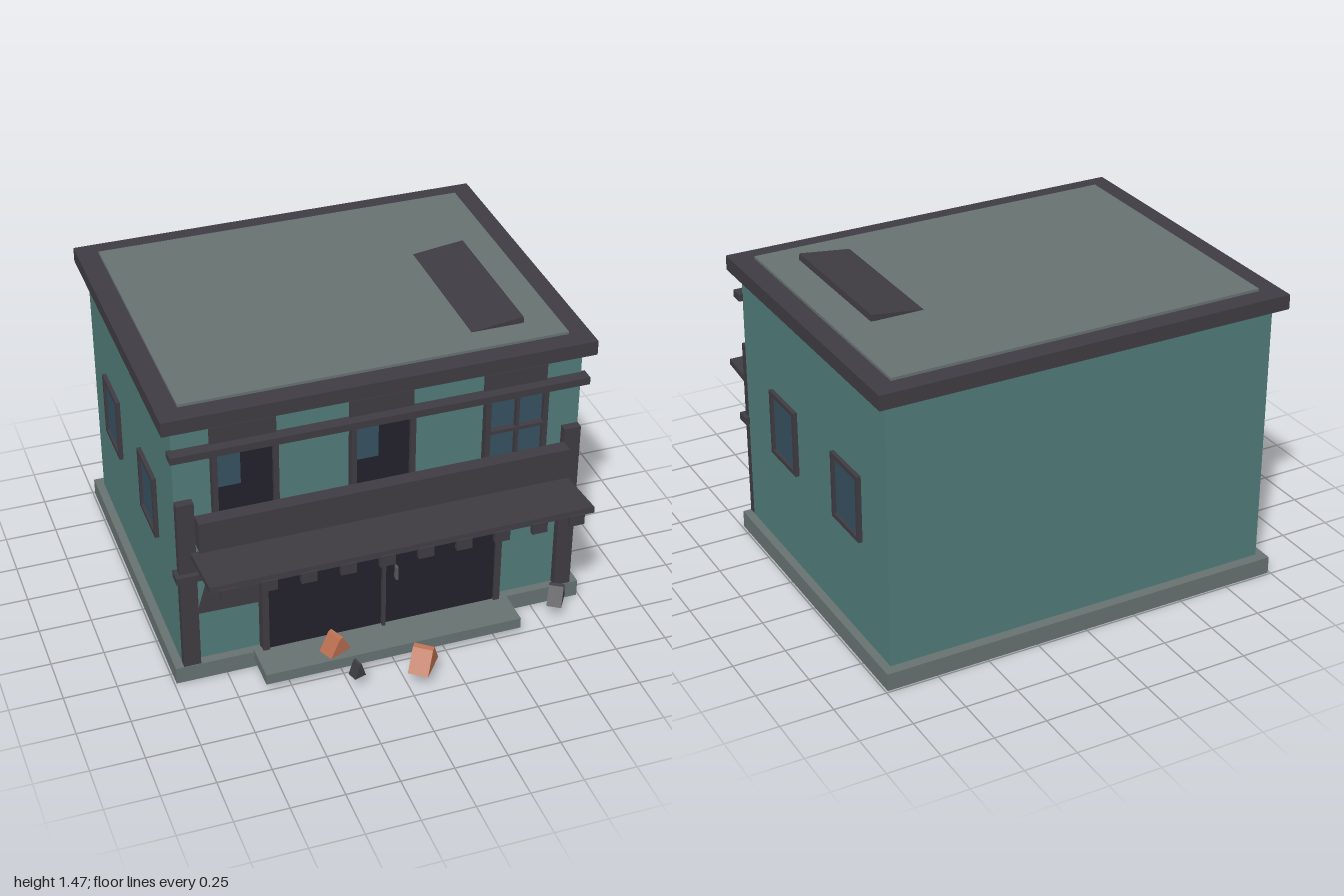
import * as THREE from 'three';

const mat = (name, color) => {
  const m = new THREE.MeshStandardMaterial({ color });
  m.name = name;
  return m;
};

export function createModel() {
  const teal = mat('teal wall', 0x507a78);
  const trim = mat('dark trim', 0x3e3b42);
  const stone = mat('grey stone', 0x667170);
  const glass = mat('blue glass', 0x36505f);
  const dark = mat('dark opening', 0x22202b);
  const clay = mat('clay rubble', 0xb86e50);
  const coal = mat('dark rubble', 0x3c3b40);
  const metal = mat('handle metal', 0x55555c);

  const model = new THREE.Group();
  model.name = 'shopHouse';

  // Box given by its min and max on each axis
  const box = (name, m, x0, x1, y0, y1, z0, z1, parent = model) => {
    const mesh = new THREE.Mesh(new THREE.BoxGeometry(x1 - x0, y1 - y0, z1 - z0), m);
    mesh.position.set((x0 + x1) / 2, (y0 + y1) / 2, (z0 + z1) / 2);
    mesh.name = name;
    parent.add(mesh);
    return mesh;
  };
  const group = (name) => {
    const g = new THREE.Group();
    g.name = name;
    model.add(g);
    return g;
  };

  // Main body
  box('baseSlab', stone, -0.99, 0.99, 0, 0.085, -0.99, 0.57);
  box('frontStep', stone, -0.62, 0.62, 0.04, 0.095, 0.56, 0.755);
  box('walls', teal, -0.95, 0.95, 0.085, 1.365, -0.94, 0.527);
  box('roofTrim', trim, -1, 1, 1.36, 1.43, -0.995, 0.577);
  box('roofPanel', stone, -0.9, 0.9, 1.42, 1.443, -0.9, 0.48);
  const hatch = box('roofBoard', trim, 0.49, 0.74, 1.43, 1.46, -0.39, 0.345);
  hatch.rotation.z = 0.12;

  // Posts and horizontal beams on the front
  for (const s of [-1, 1]) {
    box('frontPost', trim, s * 0.91 - 0.04, s * 0.91 + 0.04, 0.085, 0.98, 0.52, 0.567);
  }
  box('upperBeam', trim, -0.97, 0.97, 1.215, 1.25, 0.52, 0.585);
  box('lowerBeam', trim, -0.97, 0.97, 0.575, 0.61, 0.52, 0.592);

  // Blank fascia board and awning with hanging tabs
  box('fasciaBoard', trim, -0.87, 0.87, 0.76, 0.915, 0.567, 0.635);
  const awning = box('awning', trim, -0.895, 0.895, 0.707, 0.737, 0.565, 0.872);
  awning.position.y = 0.72;
  awning.rotation.x = -0.11;
  const tabs = group('awningTabs');
  for (let i = 0; i < 10; i++) {
    const x = -0.81 + i * 0.18;
    box('awningTab', trim, x - 0.036, x + 0.036, 0.675, 0.73, 0.855, 0.879, tabs);
  }

  // Double door
  const door = group('doubleDoor');
  box('doorPanels', dark, -0.55, 0.55, 0.09, 0.68, 0.52, 0.575, door);
  for (const s of [-1, 1]) {
    box('doorJamb', trim, s * 0.565 - 0.015, s * 0.565 + 0.015, 0.085, 0.69, 0.52, 0.588, door);
  }
  box('doorLintel', trim, -0.58, 0.58, 0.675, 0.69, 0.52, 0.588, door);
  box('doorStile', trim, -0.008, 0.008, 0.09, 0.68, 0.57, 0.596, door);
  box('doorHandle', metal, 0.055, 0.067, 0.35, 0.42, 0.57, 0.6, door);

  // Torn panel beside the door
  const torn = new THREE.Shape([
    [-0.867, 0.35], [-0.58, 0.345], [-0.58, 0.69], [-0.66, 0.69], [-0.75, 0.63], [-0.81, 0.55],
  ].map(([x, y]) => new THREE.Vector2(x, y)));
  const panel = new THREE.Mesh(
    new THREE.ExtrudeGeometry(torn, { depth: 0.015, bevelEnabled: false }), trim);
  panel.position.z = 0.525;
  panel.name = 'tornPanel';
  model.add(panel);

  // Upper windows: two broken, one whole with glazing bars
  [-0.632, 0, 0.632].forEach((x, i) => {
    const w = group('upperWindow');
    const whole = i === 2;
    box('windowHeader', trim, x - 0.15, x + 0.15, 1.215, 1.33, 0.52, 0.537, w);
    for (const s of [-1, 1]) {
      const c = x + s * 0.138;
      box('windowJamb', trim, c - 0.012, c + 0.012, 0.83, 1.25, 0.52, 0.567, w);
    }
    box('windowSill', trim, x - 0.15, x + 0.15, 0.81, 0.835, 0.52, 0.567, w);
    box('windowPane', whole ? glass : dark, x - 0.126, x + 0.126, 0.835, 1.22, 0.52, 0.545, w);
    if (whole) {
      box('uprightBar', trim, x - 0.007, x + 0.007, 0.835, 1.22, 0.54, 0.572, w);
      box('crossBar', trim, x - 0.126, x + 0.126, 1.037, 1.053, 0.54, 0.575, w);
    } else {
      box('glassShard', glass, x - 0.126, x - 0.02, 1.03, 1.22, 0.545, 0.552, w);
    }
  });

  // Side windows, mirrored on both walls
  for (const s of [-1, 1]) {
    for (const z of [0.09, -0.56]) {
      const w = group('sideWindow');
      const part = (name, m, y0, y1, z0, z1, out) =>
        box(name, m, Math.min(s * 0.94, s * out), Math.max(s * 0.94, s * out), y0, y1, z0, z1, w);
      part('sidePane', glass, 0.59, 0.885, z - 0.118, z + 0.118, 0.957);
      part('sideSill', trim, 0.575, 0.597, z - 0.133, z + 0.133, 0.97);
      part('sideHead', trim, 0.875, 0.897, z - 0.133, z + 0.133, 0.97);
      for (const e of [-1, 1]) {
        const c = z + e * 0.122;
        part('sideJamb', trim, 0.59, 0.88, c - 0.011, c + 0.011, 0.97);
      }
    }
  }

  // Rubble: small gabled wedges, turned by yaw
  const wedge = (name, m, x, y, z, width, height, depth, yaw) => {
    const s = new THREE.Shape([
      new THREE.Vector2(-width / 2, 0), new THREE.Vector2(width / 2, 0),
      new THREE.Vector2(width * 0.1, height), new THREE.Vector2(-width * 0.05, height * 0.95),
    ]);
    const g = new THREE.ExtrudeGeometry(s, { depth, bevelEnabled: false });
    g.translate(0, 0, -depth / 2);
    const mesh = new THREE.Mesh(g, m);
    mesh.position.set(x, y, z);
    mesh.rotation.y = yaw;
    mesh.name = name;
    model.add(mesh);
  };
  wedge('clayRubbleLarge', clay, 0.075, 0.088, 0.91, 0.155, 0.107, 0.095, 0.9);
  wedge('clayRubbleSmall', clay, -0.27, 0.1, 0.69, 0.12, 0.09, 0.08, 0.4);
  wedge('darkRubbleSmall', coal, -0.225, 0.08, 0.865, 0.06, 0.075, 0.05, 0.3);
  wedge('darkRubbleLarge', coal, 0.825, 0.1, 0.688, 0.11, 0.092, 0.07, 1.0);

  return model;
}
